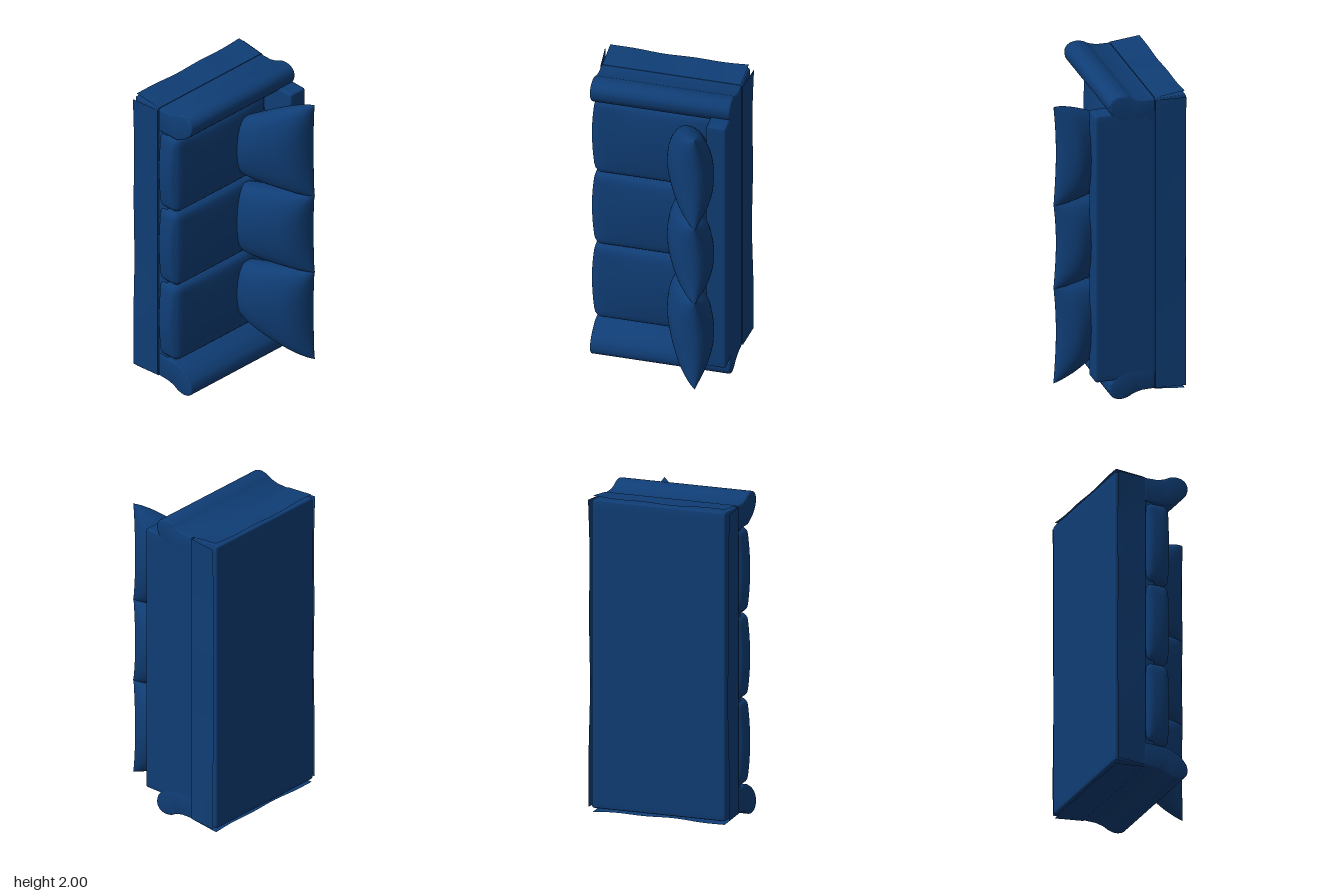
import * as THREE from 'three';
import { mergeVertices, toCreasedNormals } from 'three/addons/utils/BufferGeometryUtils.js';

const fabric = new THREE.MeshStandardMaterial({ color: 0x0f3d75 });
const cloth = new THREE.MeshStandardMaterial({ color: 0x0f3d75, side: THREE.DoubleSide });

// Softly rounded block between two corners; swell(u, v, w) returns an offset [x, y, z]
function softBox(name, min, max, r, swell) {
  const geo = new THREE.BoxGeometry(2, 2, 2, 20, 20, 20);
  geo.deleteAttribute('normal');
  geo.deleteAttribute('uv');
  const lo = new THREE.Vector3(...min), hi = new THREE.Vector3(...max);
  const mid = lo.clone().add(hi).multiplyScalar(0.5);
  const half = hi.clone().sub(lo).multiplyScalar(0.5);
  const core = half.clone().subScalar(r);
  const pos = geo.attributes.position, n = new THREE.Vector3(), p = new THREE.Vector3();
  // Crowd the grid lines towards the edges so the rounding is well resolved
  const ease = (t) => Math.sin(t * Math.PI / 2);
  for (let i = 0; i < pos.count; i++) {
    n.fromBufferAttribute(pos, i);
    n.set(ease(n.x), ease(n.y), ease(n.z));
    p.copy(n).multiply(half);
    const inner = p.clone().clamp(core.clone().negate(), core);
    const out = p.clone().sub(inner);
    if (out.lengthSq() > 0) p.copy(inner).add(out.setLength(r));
    p.add(mid);
    if (swell) p.add(new THREE.Vector3(...swell(n.x, n.y, n.z)));
    pos.setXYZ(i, p.x, p.y, p.z);
  }
  const smooth = mergeVertices(geo, 1e-5);
  smooth.computeVertexNormals();
  const mesh = new THREE.Mesh(smooth, fabric);
  mesh.name = name;
  return mesh;
}

// Rolled arm: scroll profile in (y, z), swept along x
function arm(name, mirrored) {
  const my = (y) => (mirrored ? 2 - y : y);
  const roll = [[1.957, -0.12], [1.97, -0.07], [1.99, -0.03], [1.998, 0.015], [1.985, 0.06],
    [1.95, 0.085], [1.9, 0.08], [1.86, 0.05], [1.83, 0.01], [1.805, -0.04]];
  const shape = new THREE.Shape();
  shape.moveTo(my(1.955), -0.2);
  shape.lineTo(my(1.957), -0.12);
  shape.splineThru(roll.slice(1).map(([y, z]) => new THREE.Vector2(my(y), z)));
  shape.lineTo(my(1.8), -0.2);
  const geo = new THREE.ExtrudeGeometry(shape, {
    depth: 0.85, curveSegments: 40, bevelSize: 0.01, bevelThickness: 0.01, bevelOffset: -0.01, bevelSegments: 3,
  });
  geo.translate(0, 0, -0.425);
  geo.applyMatrix4(new THREE.Matrix4().makeBasis(
    new THREE.Vector3(0, 1, 0), new THREE.Vector3(0, 0, 1), new THREE.Vector3(1, 0, 0)));
  const mesh = new THREE.Mesh(toCreasedNormals(geo, 0.7), fabric);
  mesh.name = name;
  return mesh;
}

// Plump back pillow: a leaning section in (x, z) that thins to a seam at both ends.
// y0/y1 are the end positions at the top, in0/in1 how far the ends pull in at the seat.
function pillow(name, y0, y1, in0, in1) {
  const section = new THREE.CatmullRomCurve3([
    [0.05, -0.03], [0.045, 0.08], [0.09, 0.2], [0.15, 0.3], [0.22, 0.355], [0.3, 0.37],
    [0.35, 0.33], [0.378, 0.25], [0.345, 0.15], [0.31, 0.05], [0.27, -0.03],
  ].map(([x, z]) => new THREE.Vector3(x, 0, z)), true).getPoints(48);
  const rows = 32, cols = section.length, verts = [], index = [];
  for (let i = 0; i <= rows; i++) {
    const u = -Math.cos((i / rows) * Math.PI);
    const fat = Math.pow(Math.max(0, 1 - u * u), 0.42);
    for (const { x, z } of section) {
      const t = THREE.MathUtils.clamp((z + 0.03) / 0.4, 0, 1);
      const pull = Math.pow(1 - t, 1.3);
      const a = y0 + in0 * pull, b = y1 - in1 * pull;
      const seam = 0.14 + 0.16 * t;
      verts.push(seam + (x - seam) * fat, (a + b) / 2 + u * (b - a) / 2, z + 0.025 * t * u * u);
    }
  }
  for (let i = 0; i < rows; i++) {
    for (let j = 0; j < cols - 1; j++) {
      const a = i * cols + j, b = a + cols;
      index.push(a, a + 1, b, a + 1, b + 1, b);
    }
  }
  let geo = new THREE.BufferGeometry();
  geo.setAttribute('position', new THREE.Float32BufferAttribute(verts, 3));
  geo.setIndex(index);
  geo = mergeVertices(geo, 1e-5);
  geo.computeVertexNormals();
  const mesh = new THREE.Mesh(geo, fabric);
  mesh.name = name;
  return mesh;
}

// Thin skirt panel hanging from z = -0.2 and flaring towards its hem
function skirtPanel(name, length, place) {
  const geo = new THREE.PlaneGeometry(length, 0.19, 24, 6);
  const pos = geo.attributes.position;
  for (let i = 0; i < pos.count; i++) {
    const s = pos.getX(i), drop = 0.095 - pos.getY(i);
    const t = drop / 0.19, k = (s / length) * 2;
    const flare = t * (0.011 + 0.008 * k * k + 0.003 * Math.sin(k * 7));
    pos.setXYZ(i, ...place(s, flare, -0.2 - drop));
  }
  geo.computeVertexNormals();
  const mesh = new THREE.Mesh(geo, cloth);
  mesh.name = name;
  return mesh;
}

export function createModel() {
  const sofa = new THREE.Group();
  sofa.name = 'sofaOnEnd';

  // Base, seat deck and back
  sofa.add(softBox('base', [-0.437, 0.045, -0.4], [0.437, 1.957, -0.202], 0.015));
  sofa.add(softBox('seatDeck', [-0.425, 0.15, -0.21], [0.43, 1.85, -0.13], 0.01));
  sofa.add(softBox('back', [0.31, 0.13, -0.21], [0.435, 1.887, 0.177], 0.016));

  // Rolled arms at both ends
  sofa.add(arm('upperArm', false), arm('lowerArm', true));

  // Three seat cushions, crowned on top and bulging at the front
  const edges = [0.205, 0.742, 1.268, 1.802];
  for (let i = 0; i < 3; i++) {
    sofa.add(softBox('seatCushion' + (i + 1), [-0.44, edges[i], -0.197], [0.32, edges[i + 1], -0.035], 0.045,
      (u, v, w) => [
        u < 0 ? 0.026 * u * (1 - v * v) * (1 - 0.5 * w * w) : 0,
        0,
        w > 0 ? 0.03 * w * (1 - u * u) * (1 - v * v) : 0,
      ]));
  }

  // Three back pillows; the outer ends round off above the arms
  sofa.add(pillow('backPillow1', 0.105, 0.735, 0.2, 0.05));
  sofa.add(pillow('backPillow2', 0.725, 1.285, 0.04, 0.04));
  sofa.add(pillow('backPillow3', 1.27, 1.925, 0.05, 0.2));

  // Flared skirt panels on all four sides
  for (const s of [-1, 1]) {
    sofa.add(skirtPanel('longSkirt', 1.9, (a, f, z) => [s * (0.441 + f), 1 + a, z]));
    sofa.add(skirtPanel('endSkirt', 0.86, (a, f, z) => [a, 1 + s * (0.959 + f), z]));
  }
  return sofa;
}
